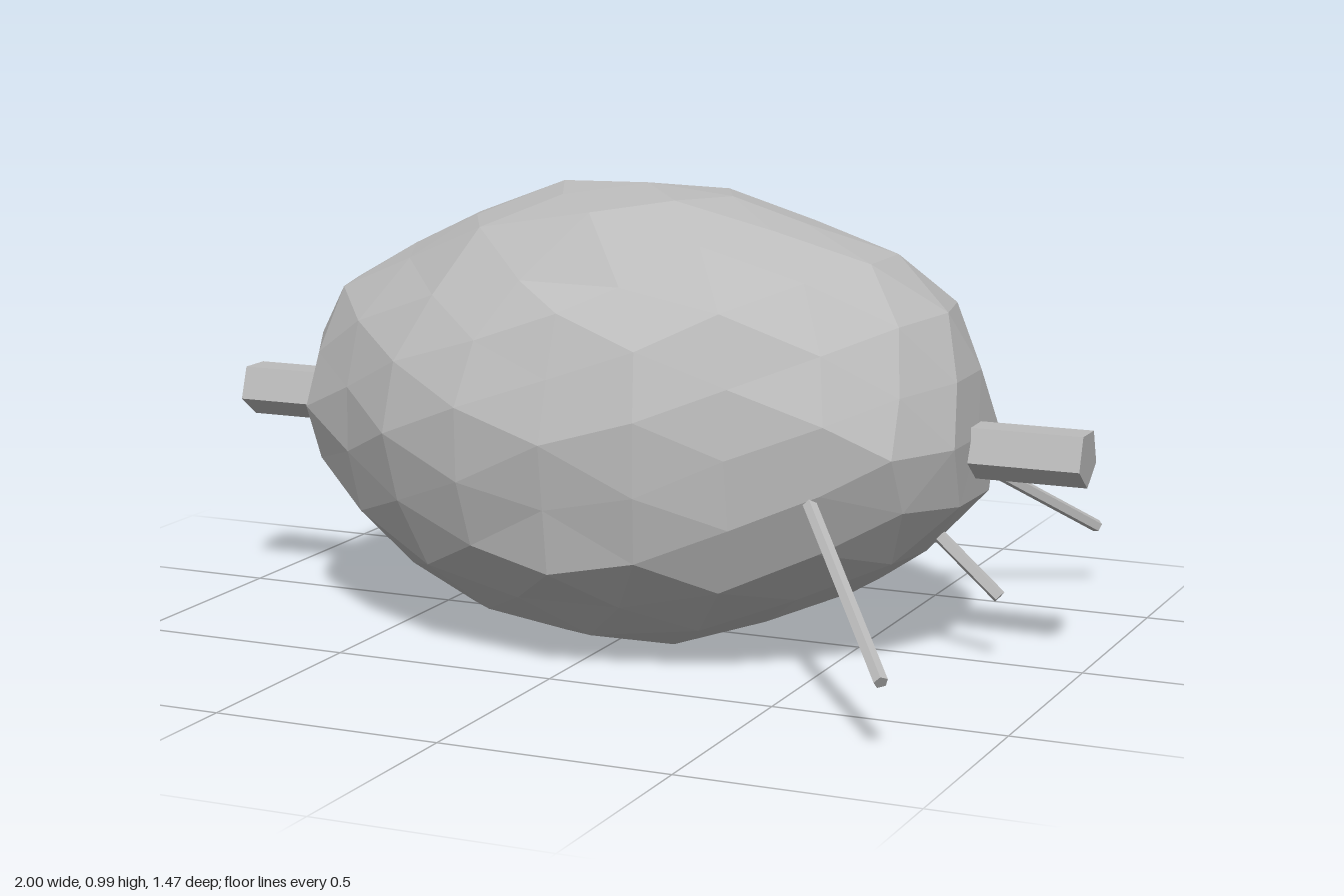
import * as THREE from 'three';

const stone = new THREE.MeshStandardMaterial({ color: 0xbcbcbc });
stone.name = 'stone grey';
stone.flatShading = true;

const CENTRE = new THREE.Vector3(0, 0.5, 0);
const SIZE = new THREE.Vector3(0.79, 0.5, 0.57);

// outlines of the boulder in its three middle planes
const outlineXY = [[-0.81, 0.51], [-0.72, 0.75], [-0.53, 0.86], [-0.2, 0.995], [0, 1], [0.2, 0.98], [0.37, 0.93],
  [0.56, 0.87], [0.69, 0.76], [0.76, 0.61], [0.76, 0.5], [0.79, 0.39], [0.7, 0.29], [0.56, 0.17], [0.4, 0.1],
  [0.2, 0.045], [0, 0.015], [-0.2, 0.03], [-0.44, 0.06], [-0.56, 0.17], [-0.7, 0.3]];
const outlineZY = [[0.3, 0.97], [0.46, 0.78], [0.51, 0.65], [0.55, 0.52], [0.53, 0.38], [0.51, 0.24], [0.41, 0.15],
  [0.3, 0.06], [0.16, 0.005], [-0.1, 0.03], [-0.25, 0.075], [-0.4, 0.16], [-0.5, 0.23], [-0.52, 0.4],
  [-0.6, 0.51], [-0.52, 0.67], [-0.46, 0.76], [-0.4, 0.86], [-0.3, 0.95], [-0.13, 0.985], [0.15, 0.99]];
const outlineXZ = [[-0.7, 0.28], [-0.55, 0.38], [-0.4, 0.48], [-0.2, 0.54], [0.22, 0.53], [0.37, 0.45],
  [0.68, 0.31], [0.76, 0.15], [0.72, -0.23], [0.65, -0.3], [0.52, -0.36], [0.37, -0.45], [0.2, -0.54],
  [-0.2, -0.57], [-0.45, -0.51], [-0.53, -0.37], [-0.66, -0.3]];

// each outline point becomes a direction with a radius relative to the ellipsoid
const controls = [
  ...outlineXY.map(([x, y]) => new THREE.Vector3(x, y, 0)),
  ...outlineZY.map(([z, y]) => new THREE.Vector3(0, y, z)),
  ...outlineXZ.map(([x, z]) => new THREE.Vector3(x, 0.5, z)),
].map((p) => {
  const v = p.sub(CENTRE).divide(SIZE);
  return { radius: v.length(), dir: v.normalize() };
});

// repeatable roughness, equal for corners shared by several faces
function roughness(d) {
  const r = (n) => Math.round(n * 500);
  const s = Math.sin(r(d.x) * 12.9898 + r(d.y) * 78.233 + r(d.z) * 37.719) * 43758.5453;
  return (s - Math.floor(s)) * 2 - 1;
}

function makeBoulder() {
  const geometry = new THREE.IcosahedronGeometry(1, 3);
  const pos = geometry.attributes.position;
  const d = new THREE.Vector3();
  for (let i = 0; i < pos.count; i++) {
    d.fromBufferAttribute(pos, i).normalize();
    let sum = 0, total = 0, nearest = 2, closest;
    for (const c of controls) {
      const dist = d.distanceTo(c.dir);
      const w = 1 / (dist ** 4 + 1e-5);
      sum += w * c.radius;
      total += w;
      if (dist < nearest) {
        nearest = dist;
        closest = c;
      }
    }
    // corners beside an outline point land on it, the others blend and roughen
    let radius = sum / total - 0.006 + roughness(d) * 0.018 * Math.min(1, nearest / 0.3);
    if (nearest < 0.1) {
      d.copy(closest.dir);
      radius = closest.radius;
    }
    d.multiplyScalar(radius).multiply(SIZE).add(CENTRE);
    pos.setXYZ(i, d.x, Math.max(0, d.y), d.z);
  }
  geometry.computeVertexNormals();
  const mesh = new THREE.Mesh(geometry, stone);
  mesh.name = 'boulder';
  return mesh;
}

// five-sided bar between two points, one edge facing down
function bar(name, from, to, radius) {
  const a = new THREE.Vector3(...from), b = new THREE.Vector3(...to);
  const axis = b.clone().sub(a);
  const geometry = new THREE.CylinderGeometry(radius, radius, axis.length(), 5, 1, false, Math.PI / 2);
  const mesh = new THREE.Mesh(geometry, stone);
  mesh.quaternion.setFromUnitVectors(new THREE.Vector3(0, 1, 0), axis.normalize());
  mesh.position.copy(a.add(b).multiplyScalar(0.5));
  mesh.name = name;
  return mesh;
}

export function createModel() {
  const group = new THREE.Group();
  group.name = 'boulderWithPegs';
  group.add(makeBoulder());

  // thick pegs at both ends
  group.add(bar('leftPeg', [0.55, 0.475, 0], [1, 0.475, 0], 0.064));
  group.add(bar('rightPeg', [-1, 0.475, 0], [-0.55, 0.475, 0], 0.064));

  // three thin rods fanning out low on the left end
  for (const [name, side] of [['frontRod', 1], ['middleRod', 0], ['backRod', -1]]) {
    group.add(bar(name, [0.45, 0.48, side * 0.28], [0.815, 0.16, side * 0.725], 0.015));
  }
  return group;
}
